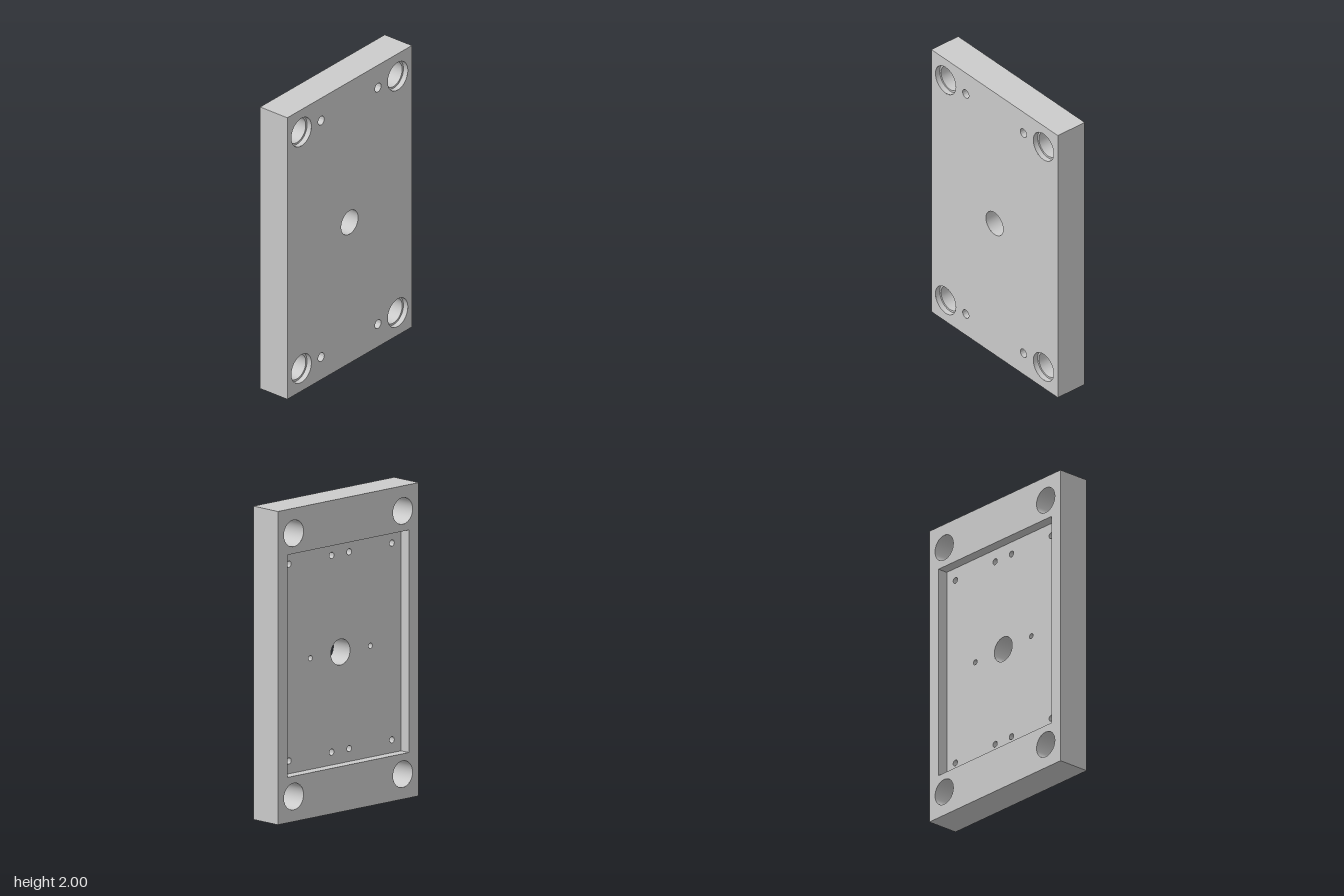
import * as THREE from 'three';
import { toCreasedNormals } from 'three/addons/utils/BufferGeometryUtils.js';

const W = 1.22, H = 2, D = 0.22;
const POCKET_W = 1.05, POCKET_H = 1.42, POCKET_D = 0.07;
const FRONT = D / 2, BACK = -D / 2, FLOOR = BACK + POCKET_D;
const SEG = 48;

const BORE_R = 0.085, COUNTERBORE_R = 0.098, COUNTERBORE_D = 0.035;
const CENTRE_R = 0.083, PIN_R = 0.03, SCREW_R = 0.02, SMALL_R = 0.017;

// Mirrored positions, measured from the plate centre
const mirror4 = (x, y) => [[x, y], [-x, y], [x, -y], [-x, -y]];
const boreSpots = mirror4(0.472, 0.84);
const pinSpots = mirror4(0.278, 0.84);
const screwSpots = [...mirror4(0.446, 0.628), ...mirror4(0.076, 0.628)];
const smallSpots = [[0.26, 0], [-0.26, 0]];

function rectPath(w, h, PathType) {
  const p = new PathType();
  p.moveTo(-w / 2, -h / 2);
  p.lineTo(w / 2, -h / 2);
  p.lineTo(w / 2, h / 2);
  p.lineTo(-w / 2, h / 2);
  p.closePath();
  return p;
}

function circles(spots, r) {
  return spots.map(([x, y]) => new THREE.Path().absarc(x, y, r, 0, Math.PI * 2, true));
}

// Four side walls of a box, optionally facing inward
function wallGeometry(w, h, z0, z1, inward) {
  const geo = new THREE.BoxGeometry(w, h, z1 - z0);
  const index = Array.from(geo.index.array.slice(0, 24));
  geo.setIndex(inward ? index.reverse() : index);
  geo.computeVertexNormals();
  return geo.translate(0, 0, (z0 + z1) / 2);
}

// Inward-facing hole wall from [radius, depth] pairs
function holeGeometry(profile) {
  const points = profile.map(([r, d]) => new THREE.Vector2(r, -d));
  return toCreasedNormals(new THREE.LatheGeometry(points, SEG), Math.PI / 6);
}

const blind = (r, depth) => [[r, 0], [r, depth], [0, depth + r * 0.6]];

export function createModel() {
  const plate = new THREE.Group();
  plate.name = 'mountingPlate';
  plate.position.y = H / 2;
  const material = new THREE.MeshStandardMaterial({ color: 0xcccccc, side: THREE.DoubleSide });

  function add(name, geometry) {
    const mesh = new THREE.Mesh(geometry, material);
    mesh.name = name;
    plate.add(mesh);
    return mesh;
  }

  // Flat face with cutouts at a given depth
  function addFace(name, w, h, z, holes, facesBack) {
    const shape = rectPath(w, h, THREE.Shape);
    shape.holes = holes;
    const geo = new THREE.ShapeGeometry(shape, SEG);
    // All cutouts are mirror-symmetric, so a half turn keeps the layout
    if (facesBack) geo.rotateY(Math.PI);
    add(name, geo.translate(0, 0, z));
  }

  function addHoles(name, spots, profile, z, fromBack) {
    const geo = holeGeometry(profile);
    geo.rotateX(fromBack ? -Math.PI / 2 : Math.PI / 2);
    spots.forEach(([x, y], i) => add(name + (i + 1), geo).position.set(x, y, z));
  }

  // Plate faces and edges
  addFace('frontFace', W, H, FRONT, [
    ...circles(boreSpots, COUNTERBORE_R),
    ...circles(pinSpots, PIN_R),
    ...circles([[0, 0]], CENTRE_R),
  ], false);
  addFace('backFrame', W, H, BACK, [
    ...circles(boreSpots, BORE_R),
    rectPath(POCKET_W, POCKET_H, THREE.Path),
  ], true);
  add('outerEdges', wallGeometry(W, H, BACK, FRONT, false));

  // Recessed pocket in the back
  addFace('pocketFloor', POCKET_W, POCKET_H, FLOOR, [
    ...circles(screwSpots, SCREW_R),
    ...circles(smallSpots, SMALL_R),
    ...circles([[0, 0]], CENTRE_R),
  ], true);
  add('pocketWalls', wallGeometry(POCKET_W, POCKET_H, BACK, FLOOR, true));

  // Through holes: stepped corner bores and plain centre bore
  addHoles('cornerBore', boreSpots, [
    [COUNTERBORE_R, 0], [COUNTERBORE_R, COUNTERBORE_D], [BORE_R, COUNTERBORE_D], [BORE_R, D],
  ], FRONT, false);
  addHoles('centreBore', [[0, 0]], [[CENTRE_R, 0], [CENTRE_R, FRONT - FLOOR]], FRONT, false);

  // Blind drilled holes with conical ends
  addHoles('frontPinHole', pinSpots, blind(PIN_R, 0.1), FRONT, false);
  addHoles('pocketScrewHole', screwSpots, blind(SCREW_R, 0.08), FLOOR, true);
  addHoles('pocketSmallHole', smallSpots, blind(SMALL_R, 0.08), FLOOR, true);

  const model = new THREE.Group();
  model.name = 'plateModel';
  model.add(plate);
  return model;
}
